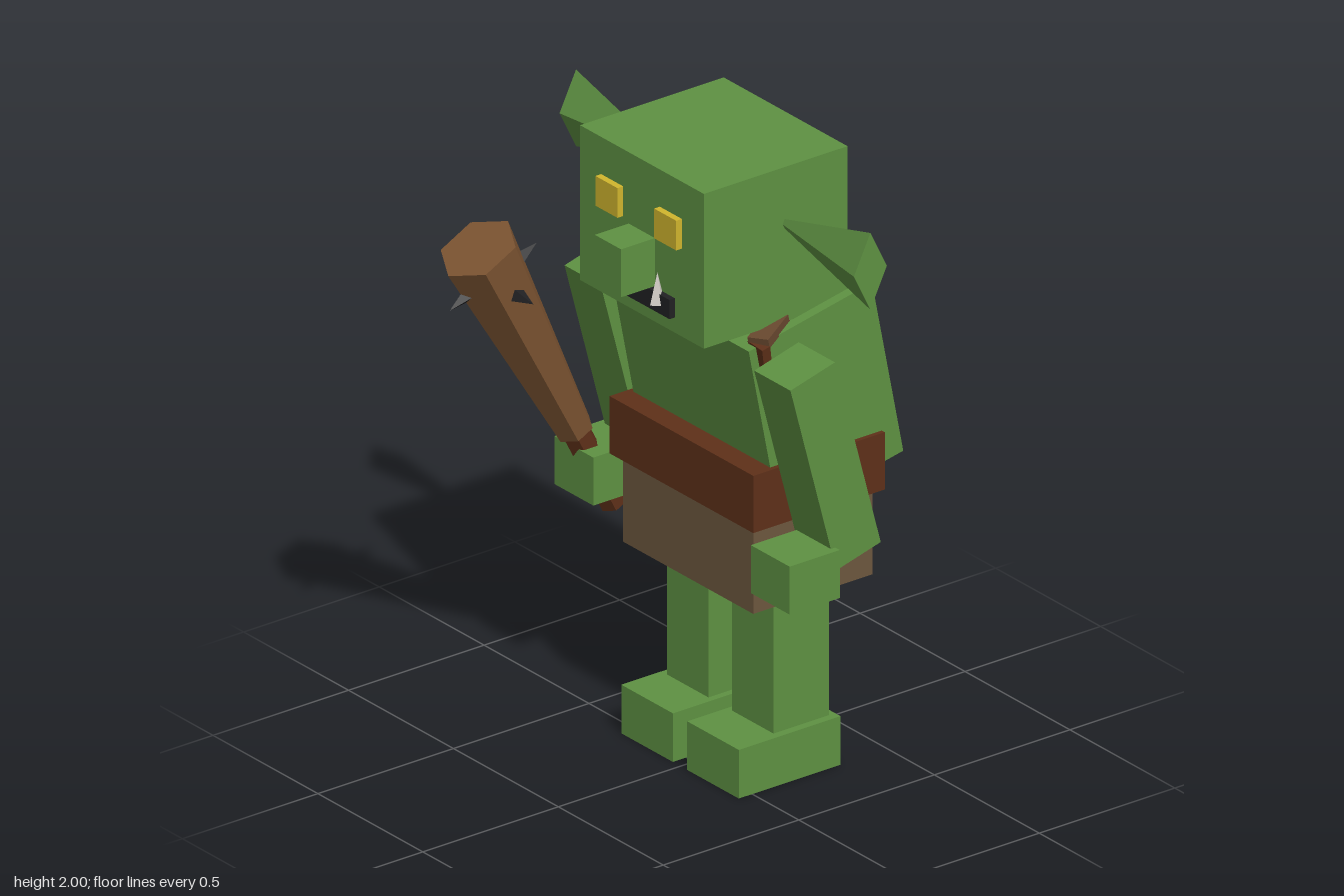
import * as THREE from 'three';
import { toCreasedNormals } from 'three/addons/utils/BufferGeometryUtils.js';

const material = (name, color) => {
  const m = new THREE.MeshStandardMaterial({ color });
  m.name = name;
  return m;
};

export function createModel() {
  const skin = material('green skin', 0x5e9142);
  const cloth = material('cloth brown', 0x6d573e);
  const leather = material('belt brown', 0x5e3019);
  const strapBrown = material('strap brown', 0x68482f);
  const wood = material('club wood', 0x7c5432);
  const yellow = material('eye yellow', 0xd0b52d);
  const black = material('black', 0x212123);
  const ivory = material('tusk ivory', 0xd2cdc6);

  const model = new THREE.Group();
  model.name = 'goblin';

  const add = (parent, name, geometry, mat, pos) => {
    const mesh = new THREE.Mesh(geometry, mat);
    mesh.name = name;
    mesh.position.set(...pos);
    parent.add(mesh);
    return mesh;
  };
  const box = (parent, name, mat, size, pos) =>
    add(parent, name, new THREE.BoxGeometry(...size), mat, pos);
  // faceted cylinder or cone
  const faceted = (parent, name, mat, top, bottom, length, sides, pos) =>
    add(parent, name, toCreasedNormals(new THREE.CylinderGeometry(top, bottom, length, sides), 0.2), mat, pos);

  // head and face
  box(model, 'head', skin, [0.59, 0.5, 0.53], [-0.002, 1.75, -0.075]);
  box(model, 'nose', skin, [0.125, 0.155, 0.15], [-0.003, 1.692, 0.24]);
  box(model, 'mouth', black, [0.315, 0.062, 0.04], [-0.003, 1.58, 0.19]);

  // hunched torso with a strap over one shoulder
  const torso = new THREE.Group();
  torso.name = 'torso';
  torso.position.set(0, 1.219, -0.235);
  torso.rotation.x = 0.197;
  model.add(torso);
  box(torso, 'chest', skin, [0.652, 0.588, 0.464], [0, 0, 0]);
  box(torso, 'strapBack', strapBrown, [0.068, 0.55, 0.03], [0.088, 0.03, -0.246]).rotation.z = -0.1;
  box(torso, 'strapShoulder', strapBrown, [0.068, 0.03, 0.49], [0.215, 0.303, -0.028]).rotation.y = 0.46;
  box(torso, 'strapFront', leather, [0.068, 0.5, 0.03], [0.295, 0.05, 0.19]).rotation.z = -0.11;

  // belt and skirt
  box(model, 'belt', leather, [0.685, 0.185, 0.485], [-0.002, 0.972, -0.198]);
  box(model, 'skirt', cloth, [0.622, 0.285, 0.44], [-0.002, 0.742, -0.2]);

  // paired parts
  for (const side of [-1, 1]) {
    const label = side > 0 ? 'left' : 'right';
    box(model, label + 'Eye', yellow, [0.105, 0.096, 0.04], [side * 0.14 - 0.004, 1.832, 0.191]);
    faceted(model, label + 'Tusk', ivory, 0, 0.027, 0.1, 4, [side * 0.095 - 0.003, 1.626, 0.206]);

    const ear = faceted(model, label + 'Ear', skin, 0, 0.124, 0.465, 4, [side * 0.469, 1.817, -0.108]);
    ear.scale.z = 0.49;
    ear.rotation.z = side * Math.PI / 2;

    box(model, label + 'Arm', skin, [0.173, 0.652, 0.17], [side * 0.452, 1.126, -0.106]).rotation.x = 0.262;
    box(model, label + 'Hand', skin, [0.185, 0.155, 0.185], [side * 0.468, 0.787, -0.012]);
    box(model, label + 'Leg', skin, [0.198, 0.5, 0.205], [side * 0.155 - 0.002, 0.36, -0.201]);
    box(model, label + 'Foot', skin, [0.246, 0.157, 0.375], [side * 0.157 - 0.002, 0.0785, -0.138]);
  }

  // spiked club, origin at the bottom of its head
  const club = new THREE.Group();
  club.name = 'club';
  club.position.set(-0.471, 0.92, 0.075);
  club.rotation.x = 0.479;
  model.add(club);
  faceted(club, 'clubHead', wood, 0.124, 0.059, 0.773, 6, [0, 0.3865, 0]);
  faceted(club, 'clubHandle', leather, 0.045, 0.045, 0.32, 6, [0, -0.15, 0]);
  // spikes: height along the club and angle around it
  const spikes = [[0.67, 0], [0.62, Math.PI / 2], [0.635, Math.PI], [0.67, -Math.PI / 2]];
  for (const [height, angle] of spikes) {
    const spike = faceted(club, 'spike', black, 0, 0.034, 0.1, 4,
      [Math.sin(angle) * 0.122, height, Math.cos(angle) * 0.122]);
    spike.rotation.set(Math.PI / 2, angle, 0, 'YXZ');
  }

  return model;
}
